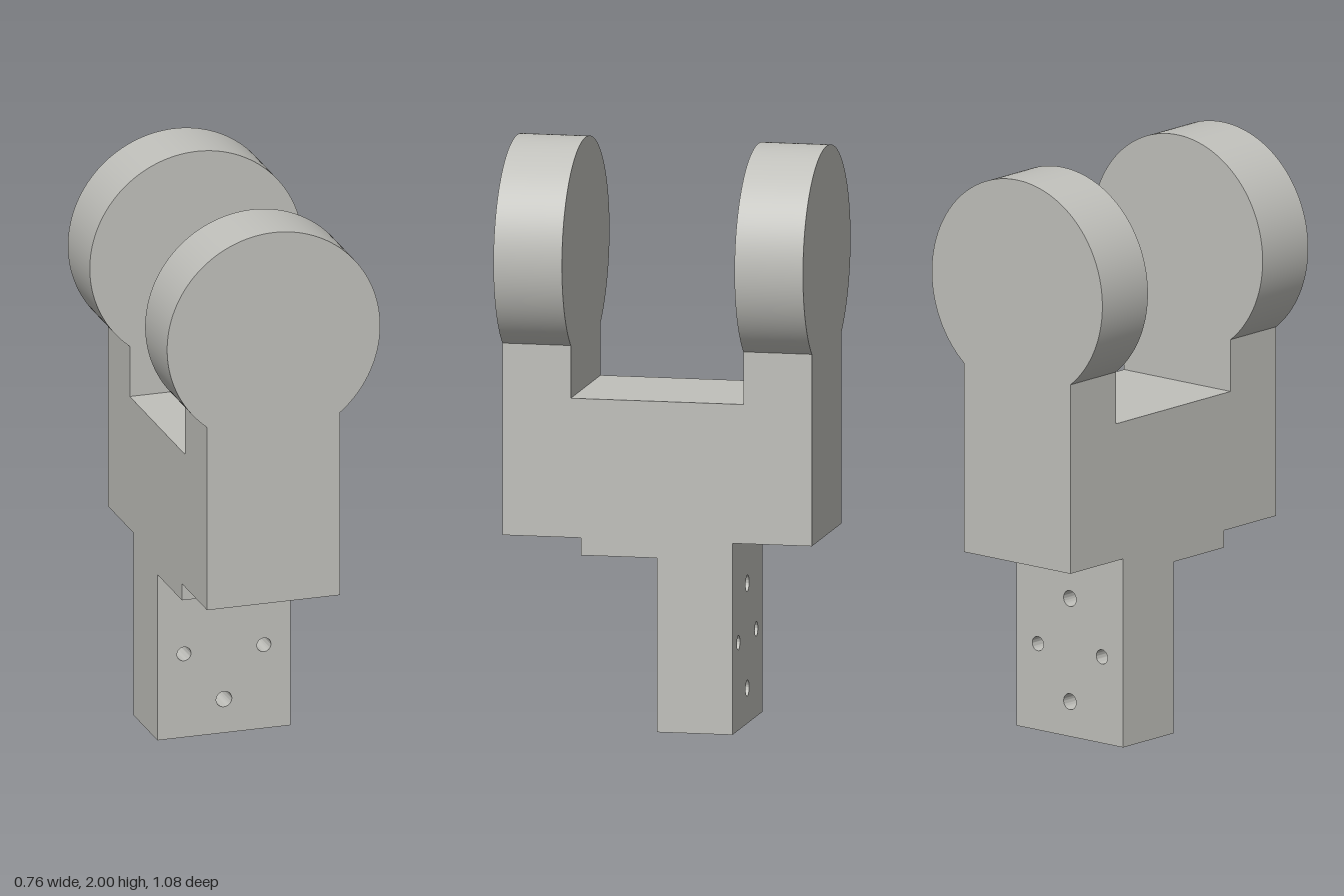
import * as THREE from 'three';
import { toCreasedNormals } from 'three/addons/utils/BufferGeometryUtils.js';

const HALF_W = 0.238;              // half width of the body and tongue
const RADIUS = 0.381, EYE_Y = 1.619; // rounded fork ends
const NECK_Y = EYE_Y - Math.sqrt(RADIUS ** 2 - HALF_W ** 2);
const OUTER = 0.538, INNER = 0.3;  // fork arm faces along z

// Extrudes a shape from z = 0 to z = depth, smooth on curves and sharp at corners
function extrude(shape, depth, curveSegments) {
  const geo = new THREE.ExtrudeGeometry(shape, { depth, bevelEnabled: false, curveSegments });
  return toCreasedNormals(geo, 0.5);
}

export function createModel() {
  const model = new THREE.Group();
  const metal = new THREE.MeshStandardMaterial({ color: 0xc0c0bb });
  metal.name = 'warm grey metal';

  const add = (name, geometry) => {
    const mesh = new THREE.Mesh(geometry, metal);
    mesh.name = name;
    model.add(mesh);
    return mesh;
  };

  // Fork body: side profile (z, y) extruded across x
  const profile = new THREE.Shape([
    [-0.262, 0.6], [0.265, 0.6], [0.265, 0.66], [OUTER, 0.66],
    [OUTER, NECK_Y], [INNER, NECK_Y], [INNER, 1.14], [-INNER, 1.14],
    [-INNER, NECK_Y], [-OUTER, NECK_Y], [-OUTER, 0.66], [-0.262, 0.66],
  ].map(([z, y]) => new THREE.Vector2(z, y)));
  const body = extrude(profile, HALF_W * 2, 1);
  body.rotateY(-Math.PI / 2).translate(HALF_W, 0, 0);
  add('forkBody', body);

  // Rounded fork ends, cut flat where they meet the arms
  const cut = Math.atan2(EYE_Y - NECK_Y, HALF_W);
  const round = new THREE.Shape();
  round.absarc(0, EYE_Y, RADIUS, -cut, Math.PI + cut, false);
  const end = extrude(round, OUTER - INNER, 72);
  add('frontForkEnd', end).position.z = INNER;
  add('backForkEnd', end).position.z = -OUTER;

  // Mounting tongue with four through holes
  const plate = new THREE.Shape([
    [-HALF_W, 0], [HALF_W, 0], [HALF_W, 0.6], [-HALF_W, 0.6],
  ].map(([x, y]) => new THREE.Vector2(x, y)));
  for (const [x, y, r] of [[0, 0.483, 0.028], [0, 0.122, 0.028], [-0.143, 0.302, 0.025], [0.143, 0.302, 0.025]]) {
    const hole = new THREE.Path();
    hole.absarc(x, y, r, 0, Math.PI * 2, true);
    plate.holes.push(hole);
  }
  add('mountingTongue', extrude(plate, 0.262, 32)).position.z = -0.262;

  return model;
}
